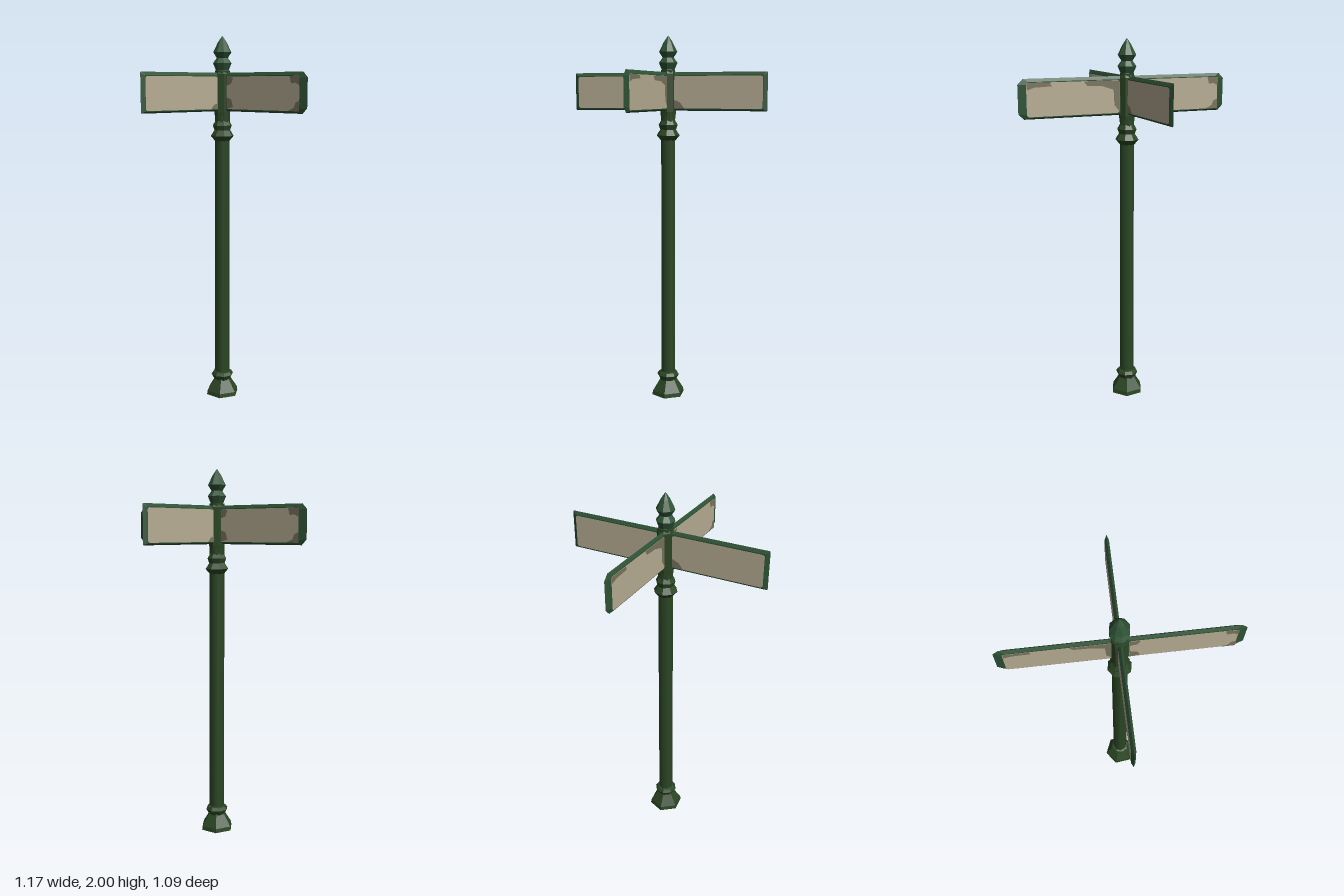
import * as THREE from 'three';
import { ConvexGeometry } from 'three/addons/geometries/ConvexGeometry.js';

const mat = (name, color, side = THREE.FrontSide) => {
  const m = new THREE.MeshStandardMaterial({ color, side });
  m.name = name;
  return m;
};

export function createModel() {
  const green = mat('dark green paint', 0x2b4624);
  const trim = mat('lighter green paint', 0x2d5134);
  const cream = mat('cream panel', 0xb8ad94);
  const grime = mat('worn patch', 0x79745f);

  const model = new THREE.Group();
  model.name = 'signpost';
  const add = (parent, name, geo, material) => {
    const mesh = new THREE.Mesh(geo, material);
    mesh.name = name;
    parent.add(mesh);
    return mesh;
  };
  // Faceted turned part from [radius, height] pairs
  const turned = (points, sides, turn) => {
    const pts = points.map(([r, y]) => new THREE.Vector2(r, y));
    const g = new THREE.LatheGeometry(pts, sides, turn).toNonIndexed();
    g.computeVertexNormals();
    return g;
  };

  // Post
  const post = new THREE.Group();
  post.name = 'post';
  post.position.set(-0.006, 0, -0.004);
  model.add(post);
  const pole = add(post, 'pole', new THREE.CylinderGeometry(0.04, 0.041, 1.72, 8), green);
  pole.position.y = 0.96;
  add(post, 'base', turned(
    [[0, 0], [0.093, 0.008], [0.09, 0.03], [0.05, 0.092], [0.046, 0.1]], 6, 0.65), green);
  add(post, 'baseCollar', turned(
    [[0.044, 0.09], [0.062, 0.122], [0.052, 0.138], [0.038, 0.142]], 8, 0.2), green);
  add(post, 'neckCollar', turned(
    [[0.038, 1.445], [0.063, 1.474], [0.043, 1.505], [0.052, 1.53], [0.038, 1.555]], 8, 0.2), green);
  add(post, 'signSocket', turned(
    [[0.038, 1.56], [0.043, 1.6], [0.044, 1.8], [0.034, 1.822]], 8, 0.2), green);
  add(post, 'finial', turned(
    [[0.034, 1.82], [0.05, 1.858], [0.03, 1.885], [0.049, 1.915], [0.024, 1.965], [0, 2]], 8, 0.2), trim);

  // Rectangle outline with cut corners
  const outline = (x0, x1, y0, y1, cut) => [
    [x0 + cut, y0], [x1 - cut, y0], [x1, y0 + cut], [x1, y1 - cut],
    [x1 - cut, y1], [x0 + cut, y1], [x0, y1 - cut], [x0, y0 + cut]];
  const plate = pts => new THREE.ShapeGeometry(
    new THREE.Shape(pts.map(([x, y]) => new THREE.Vector2(x, y))));

  // Worn patches on one face
  const longPatches = [
    [[-0.54, 1.787], [-0.42, 1.787], [-0.41, 1.768], [-0.5, 1.764], [-0.54, 1.752]],
    [[-0.24, 1.787], [-0.045, 1.787], [-0.045, 1.63], [-0.07, 1.66], [-0.075, 1.74], [-0.14, 1.76], [-0.22, 1.763]],
    [[0.04, 1.787], [0.09, 1.783], [0.075, 1.75], [0.04, 1.74]],
    [[0.04, 1.68], [0.075, 1.67], [0.09, 1.63], [0.04, 1.618]],
    [[0.48, 1.787], [0.545, 1.787], [0.545, 1.74], [0.52, 1.755], [0.49, 1.752]],
    [[0.47, 1.618], [0.545, 1.618], [0.545, 1.67], [0.52, 1.66], [0.51, 1.635]]];
  const shortPatches = [
    [[-0.09, 1.618], [-0.04, 1.618], [-0.04, 1.65], [-0.07, 1.64]],
    [[0.04, 1.618], [0.1, 1.618], [0.075, 1.65], [0.04, 1.665]]];

  // Bevelled two-armed board with panels on both faces
  function sign(name, half, cut, taper, t, panelEnd, patches) {
    const g = new THREE.Group();
    g.name = name;
    const pts = outline(-half, half, 1.606, 1.808, cut).map(([x, y]) => new THREE.Vector3(x, y, 0));
    for (const z of [-t, t]) {
      for (const [x, y] of outline(-half + taper, half - taper, 1.614, 1.792, cut * 0.5)) {
        pts.push(new THREE.Vector3(x, y, z));
      }
    }
    add(g, 'board', new ConvexGeometry(pts), trim);
    for (const turn of [0, Math.PI]) {
      const face = new THREE.Group();
      face.name = turn ? 'backFace' : 'frontFace';
      face.rotation.y = turn;
      g.add(face);
      for (const [x0, x1] of [[-panelEnd, -0.042], [0.038, panelEnd]]) {
        add(face, 'panel', plate(outline(x0, x1, 1.618, 1.788, 0.008)), cream).position.z = t + 0.0015;
      }
      for (const p of patches) {
        add(face, 'wornPatch', plate(p), grime).position.z = t + 0.003;
      }
    }
    model.add(g);
    return g;
  }

  const wide = sign('sidewaysSign', 0.584, 0.028, 0.04, 0.0105, 0.543, longPatches);
  wide.position.z = -0.003;
  const cross = sign('crossSign', 0.547, 0.003, 0.02, 0.0105, 0.525, shortPatches);
  cross.rotation.y = Math.PI / 2;
  cross.position.x = -0.006;

  return model;
}
